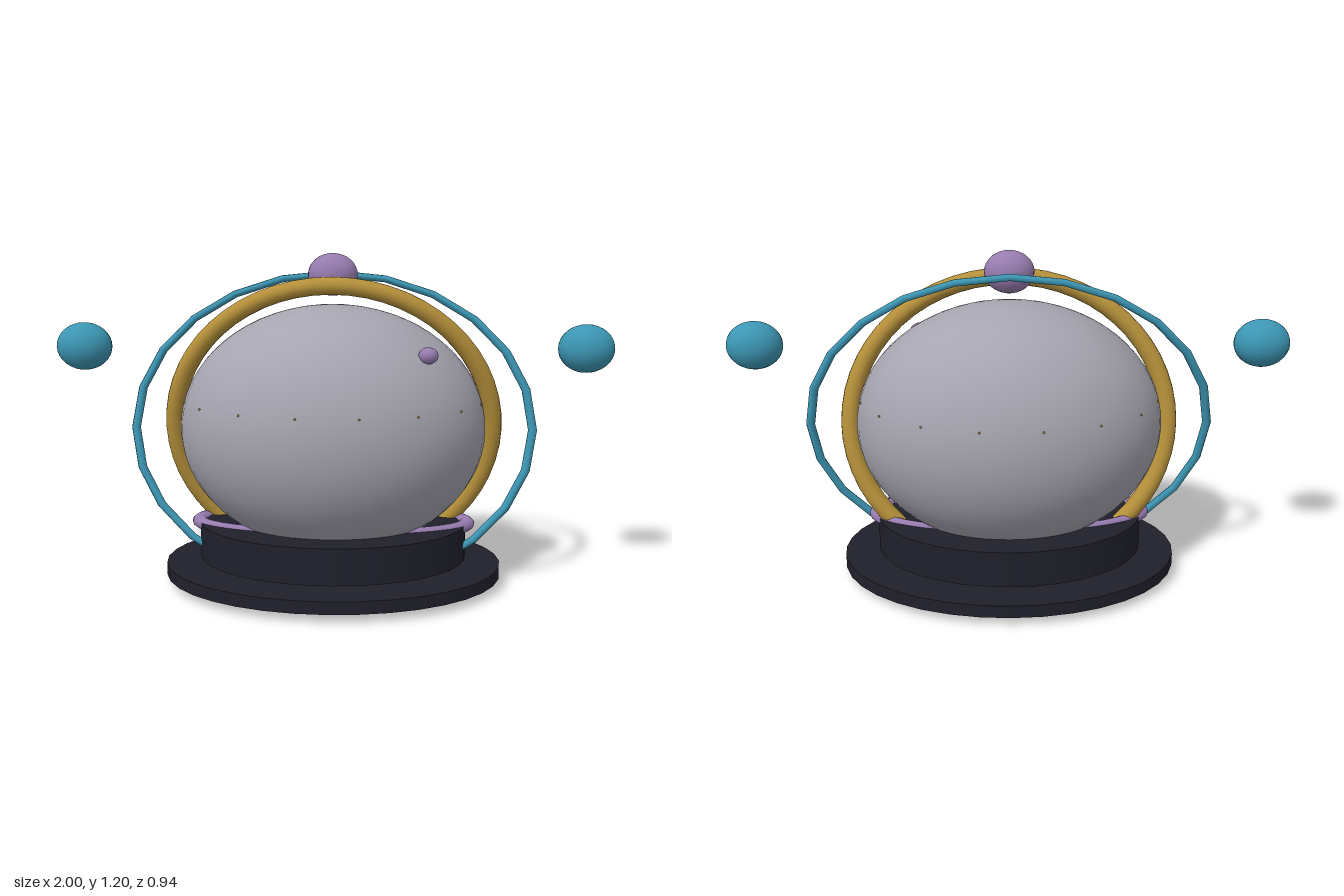
import * as THREE from 'three';

const material = (name, color) => {
  const m = new THREE.MeshStandardMaterial({ color });
  m.name = name;
  return m;
};

export function createModel() {
  const grey = material('shell grey', 0xa5a4af);
  const dark = material('base dark', 0x20202c);
  const gold = material('ring gold', 0xb5903a);
  const blue = material('orbit blue', 0x3c96b4);
  const purple = material('accent purple', 0x977cb0);

  const model = new THREE.Group();
  const add = (name, geometry, mat, position, scale = [1, 1, 1], tilt = 0) => {
    const mesh = new THREE.Mesh(geometry, mat);
    mesh.name = name;
    mesh.position.set(...position);
    mesh.scale.set(...scale);
    mesh.rotation.x = tilt;
    model.add(mesh);
    return mesh;
  };

  // Oval stand: a thin plate with a thicker drum floating just above it
  const disc = new THREE.CylinderGeometry(1, 1, 1, 36);
  add('basePlate', disc, dark, [0, 0.0575, 0], [0.613, 0.045, 0.47]);
  add('baseDrum', disc, dark, [0, 0.165, 0], [0.487, 0.13, 0.373]);

  // Flattened collar whose ends stick out past the drum
  const collar = new THREE.TorusGeometry(0.49, 0.03, 12, 40);
  collar.rotateX(Math.PI / 2);
  add('collar', collar, purple, [0, 0.222, 0], [1, 0.75, 0.39]);

  // Main body and its small balls
  const ball = new THREE.SphereGeometry(1, 48, 32);
  add('body', ball, grey, [0, 0.575, 0], [0.55, 0.445, 0.425]);
  add('topBall', new THREE.SphereGeometry(1, 24, 16), purple, [0, 1.125, 0], [0.088, 0.075, 0.067]);
  add('sideStud', new THREE.SphereGeometry(1, 10, 8), purple, [0.332, 0.863, 0.222], [0.034, 0.029, 0.03]);

  // Band of tiny lights that barely break the body's surface
  const light = new THREE.SphereGeometry(0.004, 6, 4);
  for (let i = 0; i < 16; i++) {
    const a = ((i + 0.5) * Math.PI) / 8;
    add('bodyLight', light, gold, [Math.sin(a) * 0.536, 0.675, Math.cos(a) * 0.414]);
  }

  // Two oval rings leaning opposite ways
  add('innerRing', new THREE.TorusGeometry(0.575, 0.034, 14, 56), gold, [0, 0.575, 0], [1, 0.915, 1], 0.202);
  add('outerRing', new THREE.TorusGeometry(0.72, 0.016, 8, 24), blue, [0, 0.57, 0], [1, 0.782, 0.95], -0.178);

  // Moons on both sides
  const moon = new THREE.SphereGeometry(1, 24, 16);
  for (const side of [-1, 1]) {
    add(side > 0 ? 'leftMoon' : 'rightMoon', moon, blue, [side * 0.9, 0.866, 0], [0.1, 0.086, 0.076]);
  }

  return model;
}
